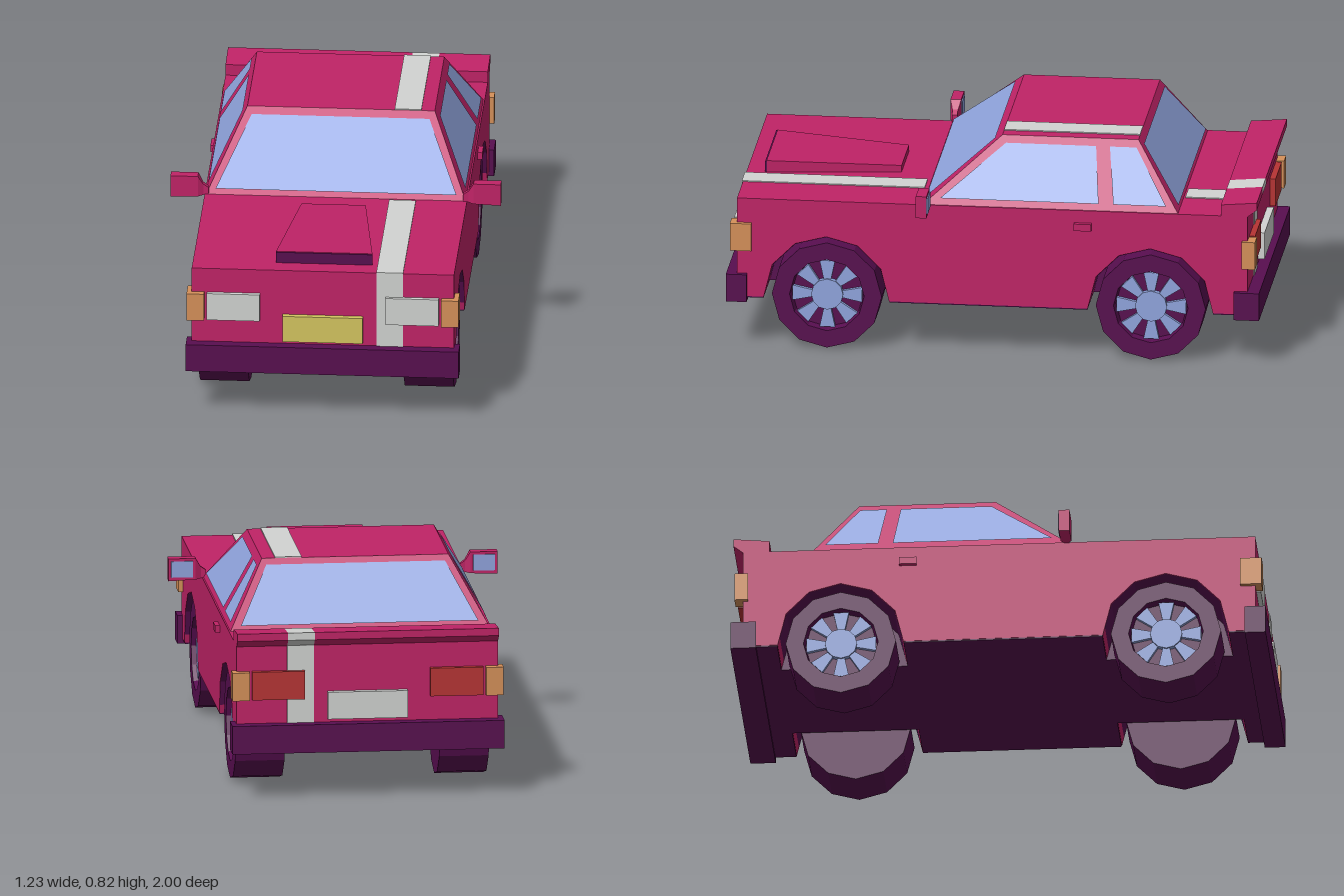
import * as THREE from 'three';
import { ConvexGeometry } from 'three/addons/geometries/ConvexGeometry.js';

const mat = (name, color, side = THREE.FrontSide) => {
  const m = new THREE.MeshStandardMaterial({ color, side, flatShading: true });
  m.name = name;
  return m;
};

export function createModel() {
  const paint = mat('magenta paint', 0xc02367);
  const dark = mat('dark purple trim', 0x580e50, THREE.DoubleSide);
  const glass = mat('blue glass', 0x91a5df, THREE.DoubleSide);
  const white = mat('pale grey', 0xd2d4d2);
  const yellow = mat('yellow plate', 0xd4c560);
  const orange = mat('orange lamp', 0xd6915a);
  const red = mat('red lamp', 0xb83434);

  const car = new THREE.Group();
  car.name = 'car';
  const add = (name, geo, material, parent = car) => {
    const m = new THREE.Mesh(geo, material);
    m.name = name;
    parent.add(m);
    return m;
  };
  const v = (x, y, z) => new THREE.Vector3(x, y, z);

  // Box given by its limits on each axis
  const box = (name, [x0, x1], [y0, y1], [z0, z1], material) => {
    const g = new THREE.BoxGeometry(x1 - x0, y1 - y0, z1 - z0);
    g.translate((x0 + x1) / 2, (y0 + y1) / 2, (z0 + z1) / 2);
    return add(name, g, material);
  };
  // Side profile of [z, y] points extruded across x
  const prism = (name, pts, x0, x1, material) => {
    const shape = new THREE.Shape(pts.map(p => new THREE.Vector2(...p)));
    const g = new THREE.ExtrudeGeometry(shape, { depth: x1 - x0, bevelEnabled: false });
    g.rotateY(-Math.PI / 2);
    g.translate(x1, 0, 0);
    return add(name, g, material);
  };
  // Flat pane through a ring of corners
  const pane = (name, pts, material) => {
    const tris = [];
    for (let i = 1; i < pts.length - 1; i++) tris.push(pts[0], pts[i], pts[i + 1]);
    const g = new THREE.BufferGeometry().setFromPoints(tris);
    g.computeVertexNormals();
    return add(name, g, material);
  };

  // Lower body with wheel arch notches
  const axles = [-0.59, 0.625], axleY = 0.21, archR = 0.235;
  const profile = [[-0.955, 0.2]];
  for (const z of axles) {
    for (let k = 0; k <= 6; k++) {
      const a = Math.PI - k * Math.PI / 6;
      profile.push([z + archR * Math.cos(a), k % 6 ? axleY + archR * Math.sin(a) : 0.2]);
    }
  }
  profile.push([0.96, 0.2], [0.96, 0.585], [-0.955, 0.585]);
  prism('body', profile, -0.49, 0.49, paint);

  // Underside and wheel wells
  box('chassisCore', [-0.28, 0.28], [0.195, 0.46], [-0.95, 0.955], dark);
  for (const zs of [[-0.95, -0.826], [-0.354, 0.389], [0.861, 0.955]])
    box('underside', [-0.488, 0.488], [0.195, 0.202], zs, dark);
  for (const z of axles) {
    const g = new THREE.CylinderGeometry(archR - 0.002, archR - 0.002, 0.978, 6, 1, true, 0, Math.PI);
    g.rotateZ(Math.PI / 2);
    g.translate(0, axleY, z);
    add('wheelWell', g, dark);
  }

  // Cabin
  const y0 = 0.585, y1 = 0.825;
  const t = y => (y - y0) / (y1 - y0);
  const sideX = y => 0.49 - 0.14 * t(y);
  const frontZ = y => 0.275 - 0.295 * t(y);
  const rearZ = y => -0.7 + 0.17 * t(y);
  const corners = [];
  for (const y of [y0 - 0.01, y1])
    for (const s of [-1, 1]) {
      const yy = Math.max(y, y0);
      corners.push(v(s * sideX(yy), y, frontZ(yy)), v(s * sideX(yy), y, rearZ(yy)));
    }
  add('cabin', new ConvexGeometry(corners), paint);

  // Windows
  const lo = 0.605, hi = 0.805, e = 0.005;
  pane('windscreen', [v(-0.45, lo, frontZ(lo) + e), v(0.45, lo, frontZ(lo) + e),
    v(0.332, hi, frontZ(hi) + e), v(-0.332, hi, frontZ(hi) + e)], glass);
  pane('rearWindow', [v(0.445, lo, rearZ(lo) - e), v(-0.445, lo, rearZ(lo) - e),
    v(-0.335, hi, rearZ(hi) - e), v(0.335, hi, rearZ(hi) - e)], glass);
  const sideWindows = {
    doorWindow: [[0.2, 0.61], [-0.395, 0.61], [-0.373, 0.8], [-0.035, 0.8]],
    quarterWindow: [[-0.45, 0.61], [-0.648, 0.61], [-0.525, 0.8], [-0.425, 0.8]],
  };
  for (const s of [1, -1])
    for (const [name, pts] of Object.entries(sideWindows)) {
      const ring = pts.map(([z, y]) => v(s * (sideX(y) + 0.004), y, z));
      pane(name, s > 0 ? ring : ring.reverse(), glass);
    }

  // Bonnet scoop with dark intake
  const scoop = [];
  for (const s of [-1, 1])
    scoop.push(v(s * 0.18, 0.58, 0.885), v(s * 0.18, 0.63, 0.885),
      v(s * 0.12, 0.58, 0.385), v(s * 0.12, 0.61, 0.385));
  add('bonnetScoop', new ConvexGeometry(scoop), paint);
  box('scoopIntake', [-0.18, 0.18], [0.586, 0.628], [0.884, 0.89], dark);

  // Rear spoiler, with the stripe as its own section
  const wing = [[-0.855, 0.58], [-0.95, 0.58], [-0.99, 0.612], [-0.99, 0.64], [-0.855, 0.628]].reverse();
  prism('spoiler', wing, -0.49, 0.2, paint);
  prism('spoilerStripe', wing, 0.2, 0.3, white);
  prism('spoiler', wing, 0.3, 0.49, paint);

  // Racing stripe
  const sx = [0.2, 0.3];
  box('frontStripe', sx, [0.28, 0.589], [0.957, 0.964], white);
  box('bonnetStripe', sx, [0.582, 0.589], [0.278, 0.964], white);
  box('roofStripe', sx, [0.821, 0.829], [-0.53, -0.02], white);
  box('bootStripe', sx, [0.582, 0.589], [-0.86, -0.7], white);
  box('rearStripe', sx, [0.28, 0.585], [-0.959, -0.952], white);

  // Bumpers and number plates
  box('frontBumper', [-0.51, 0.51], [0.183, 0.29], [0.922, 1], dark);
  box('rearBumper', [-0.51, 0.51], [0.183, 0.29], [-1, -0.905], dark);
  box('frontPlate', [-0.15, 0.15], [0.305, 0.408], [0.95, 0.982], yellow);
  box('rearPlate', [-0.15, 0.15], [0.305, 0.408], [-0.98, -0.95], white);

  // Parts mirrored left and right
  for (const s of [1, -1]) {
    const span = (a, b) => (s > 0 ? [a, b] : [-b, -a]);
    box('headlight', span(0.235, 0.433), [0.383, 0.49], [0.94, 0.977], white);
    box('frontIndicator', span(0.443, 0.508), [0.383, 0.49], [0.905, 0.985], orange);
    box('tailLight', span(0.235, 0.433), [0.383, 0.49], [-0.977, -0.94], red);
    box('rearIndicator', span(0.443, 0.508), [0.383, 0.49], [-0.985, -0.935], orange);
    box('doorHandle', span(0.48, 0.508), [0.51, 0.537], [-0.37, -0.305], paint);

    // Door mirror: tapered arm, housing and glass
    const arm = [], head = [];
    for (const d of [-1, 1]) {
      const z = 0.255 + d * 0.01, zh = 0.255 + d * 0.02;
      arm.push(v(s * 0.475, 0.585, z), v(s * 0.475, 0.612, z), v(s * 0.515, 0.58, z), v(s * 0.515, 0.64, z));
      head.push(v(s * 0.495, 0.582, z), v(s * 0.495, 0.625, z), v(s * 0.515, 0.66, zh),
        v(s * 0.515, 0.579, zh), v(s * 0.617, 0.66, zh), v(s * 0.617, 0.575, zh));
    }
    add('mirrorArm', new ConvexGeometry(arm), paint);
    add('mirrorHousing', new ConvexGeometry(head), paint);
    box('mirrorGlass', span(0.525, 0.607), [0.589, 0.65], [0.231, 0.237], glass);
  }

  // Wheels: twelve-sided tyre with recessed face, eight flared spokes and a hub
  const tyre = new THREE.LatheGeometry([[0, -0.0925], [0.206, -0.0925], [0.206, 0.0925], [0.14, 0.0925],
    [0.134, 0.06], [0, 0.06]].map(p => new THREE.Vector2(...p)), 12);
  tyre.rotateZ(-Math.PI / 2);
  const polar = (r, a) => new THREE.Vector2(r * Math.cos(a), r * Math.sin(a));
  const spokeShapes = Array.from({ length: 8 }, (_, i) => {
    const a = i * Math.PI / 4;
    return new THREE.Shape([polar(0.05, a - 0.24), polar(0.133, a - 0.22), polar(0.133, a + 0.22), polar(0.05, a + 0.24)]);
  });
  const spokes = new THREE.ExtrudeGeometry(spokeShapes, { depth: 0.015, bevelEnabled: false });
  spokes.rotateY(Math.PI / 2);
  spokes.translate(0.06, 0, 0);
  const hub = new THREE.CylinderGeometry(0.06, 0.06, 0.025, 12);
  hub.rotateZ(-Math.PI / 2);
  hub.translate(0.07, 0, 0);
  for (const z of axles)
    for (const s of [1, -1]) {
      const wheel = new THREE.Group();
      wheel.name = 'wheel';
      add('tyre', tyre, dark, wheel);
      add('spokes', spokes, glass, wheel);
      add('hub', hub, glass, wheel);
      wheel.position.set(s * 0.3825, axleY, z);
      if (s < 0) wheel.rotation.y = Math.PI;
      car.add(wheel);
    }

  return car;
}
